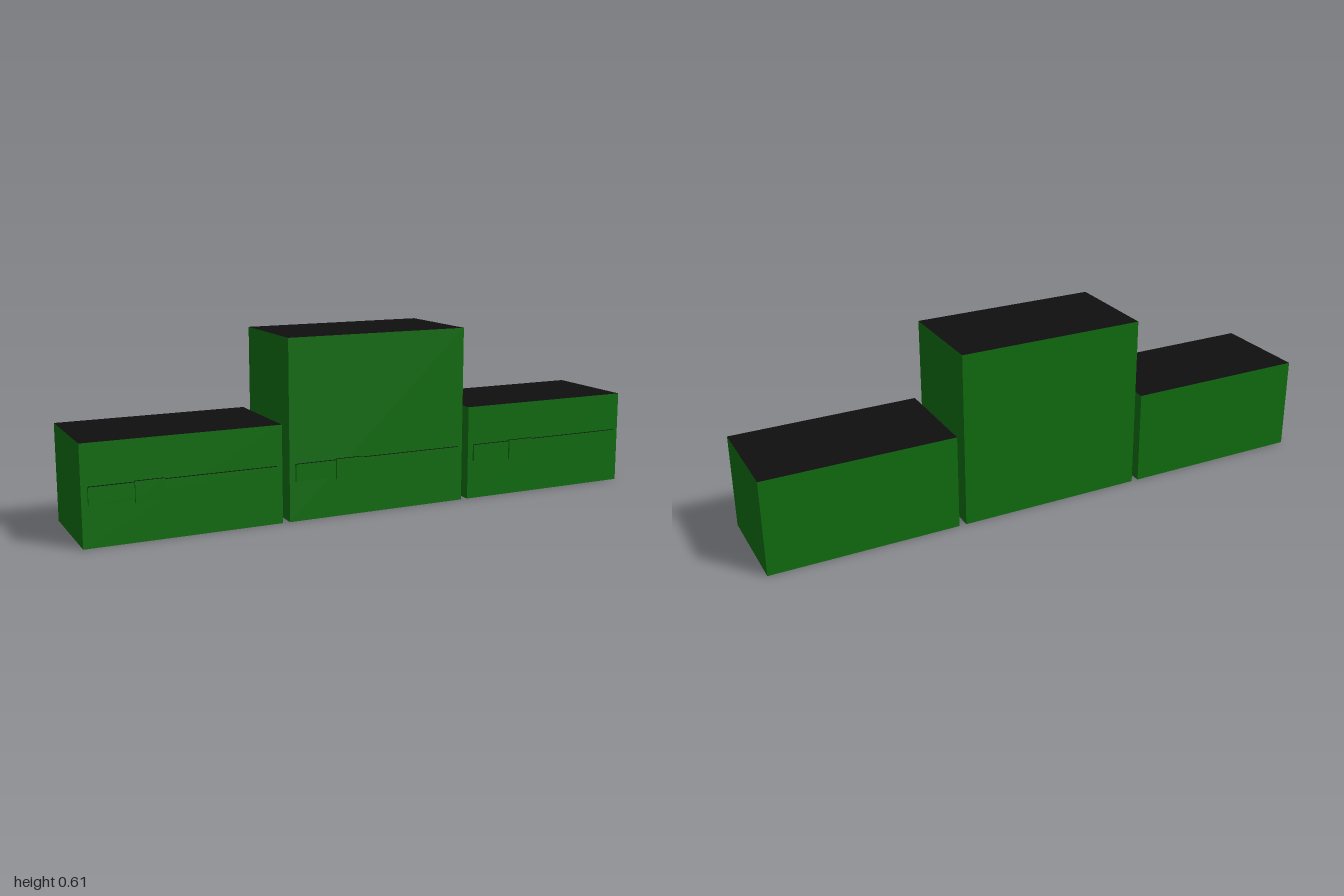
import * as THREE from 'three';

export function createModel() {
  const model = new THREE.Group();
  const green = new THREE.MeshStandardMaterial({ color: 0x106e10 });
  green.name = 'green';
  const black = new THREE.MeshStandardMaterial({ color: 0x0f0f0f });
  black.name = 'black';
  // Box faces in order +x, -x, +y, -y, +z, -z: green sides, black top and bottom
  const faces = [green, green, black, black, green, green];

  function block(parent, name, [x0, x1], [y0, y1], [z0, z1]) {
    const mesh = new THREE.Mesh(new THREE.BoxGeometry(x1 - x0, y1 - y0, z1 - z0), faces);
    mesh.position.set((x0 + x1) / 2, (y0 + y1) / 2, (z0 + z1) / 2);
    mesh.name = name;
    parent.add(mesh);
  }

  // Three blocks in a row, the middle one taller, each with a front band and clasp
  const units = [
    ['rightBlock', -0.675, 0.327],
    ['centreBlock', 0, 0.605],
    ['leftBlock', 0.675, 0.327],
  ];
  for (const [name, x, height] of units) {
    const unit = new THREE.Group();
    unit.name = name;
    unit.position.x = x;
    block(unit, 'body', [-0.325, 0.325], [0, height], [-0.183, 0.167]);
    block(unit, 'band', [-0.305, 0.305], [0.135, 0.193], [0.167, 0.176]);
    block(unit, 'clasp', [-0.163, -0.07], [0.129, 0.198], [0.175, 0.183]);
    model.add(unit);
  }
  return model;
}
